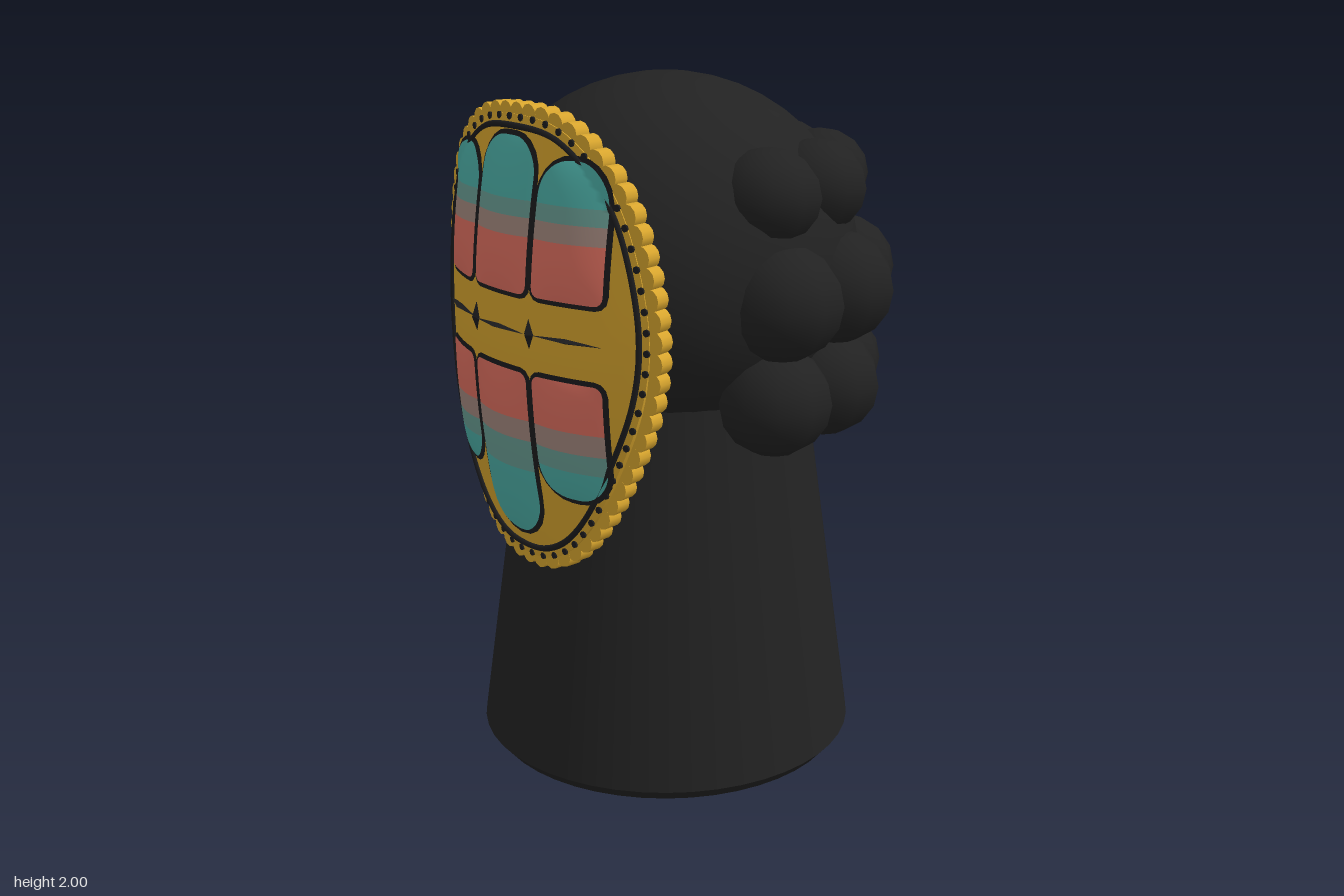
import * as THREE from 'three';
import { toCreasedNormals } from 'three/addons/utils/BufferGeometryUtils.js';
import { ParametricGeometry } from 'three/addons/geometries/ParametricGeometry.js';

const paint = (name, color, side = THREE.FrontSide) => {
  const m = new THREE.MeshStandardMaterial({ color, side });
  m.name = name;
  return m;
};
const black = paint('black', 0x222222);
const lineBlack = paint('line black', 0x1c1c1e, THREE.DoubleSide);
const gold = paint('gold', 0xd9a62e);
const teal = paint('teal', 0x4db0a8, THREE.DoubleSide);
const mutedTeal = paint('muted teal', 0x6a9f95, THREE.DoubleSide);
const taupe = paint('taupe', 0xa58a80, THREE.DoubleSide);
const coral = paint('coral', 0xe07060, THREE.DoubleSide);

const CZ = 0.045; // axis of body and head
const CY = 1.29;  // centre height of the mask

// Egg-shaped outline of the mask, clockwise from the top
const half = [[0.17, 1.895], [0.29, 1.83], [0.385, 1.73], [0.45, 1.58], [0.487, 1.38],
  [0.47, 1.2], [0.395, 1.0], [0.29, 0.82], [0.19, 0.72], [0.09, 0.675]];
const outline = new THREE.CatmullRomCurve3([
  [0, 1.912], ...half, [0, 0.667], ...half.map(([x, y]) => [-x, y]).reverse(),
].map(([x, y]) => new THREE.Vector3(x, y, 0)), true);

// Mask is bent around the face and domed in the middle
const bend = (x) => -0.31 * x * x;
const front = (x, y) => {
  const rho = (x / 0.49) ** 2 + ((y - CY) / 0.62) ** 2;
  return 0.545 + bend(x) + 0.074 * Math.max(0, 1 - rho);
};
const tilt = (x) => Math.atan(0.62 * x);
const rim = (u, s) => {
  const p = outline.getPointAt(u % 1);
  return new THREE.Vector3(p.x * s, CY + (p.y - CY) * s, 0);
};

function add(parent, name, geometry, material, x = 0, y = 0, z = 0) {
  const mesh = new THREE.Mesh(geometry, material);
  mesh.name = name;
  mesh.position.set(x, y, z);
  parent.add(mesh);
  return mesh;
}

// Curved sheet lying over the mask: a slice from ya to yb of a rounded panel
function sheet(p, ya, yb, grow, lift, bulge) {
  const lo = p.y0 - grow, hi = p.y1 + grow, hw = p.hw + grow;
  const corner = (d, r) => (d >= r ? 0 : r - Math.sqrt(Math.max(0, r * r - (r - d) ** 2)));
  const width = (y) => hw - Math.max(corner(y - lo, p.rLow + grow), corner(hi - y, p.rHigh + grow));
  return new ParametricGeometry((u, v, out) => {
    // rows crowd towards the rounded ends
    const y = THREE.MathUtils.lerp(ya, yb, (1 - Math.cos(v * Math.PI)) / 2);
    const x = p.cx + (u * 2 - 1) * width(y);
    const sx = (x - p.cx) / hw, sy = (2 * y - lo - hi) / (hi - lo);
    out.set(x, y, front(x, y) + lift + bulge * (1 - sx * sx) * (1 - sy ** 4));
  }, 12, 14);
}

function buildBody(group) {
  add(group, 'baseChamfer', new THREE.CylinderGeometry(0.565, 0.535, 0.035, 48), black, 0, 0.0175, CZ);
  add(group, 'neck', new THREE.CylinderGeometry(0.411, 0.565, 1.1, 48), black, 0, 0.585, CZ);
  add(group, 'head', new THREE.SphereGeometry(1, 40, 24), black, 0, 1.47, CZ).scale.set(0.56, 0.53, 0.56);

  // Three rows of hair buns around the back half of the head
  const rows = [
    { y: 1.14, ring: 0.49, r: 0.162, ry: 0.152 },
    { y: 1.42, ring: 0.515, r: 0.17, ry: 0.16 },
    { y: 1.70, ring: 0.45, r: 0.148, ry: 0.132 },
  ];
  const bun = new THREE.SphereGeometry(1, 10, 8);
  const hair = new THREE.Group();
  hair.name = 'hair';
  for (const row of rows) {
    for (let i = 0; i < 7; i++) {
      const a = (i * Math.PI) / 6;
      const m = add(hair, 'hairBun', bun, black,
        Math.cos(a) * row.ring, row.y, CZ - Math.sin(a) * row.ring);
      m.scale.set(row.r, row.ry, row.r);
      m.rotation.y = a;
    }
  }
  group.add(hair);
}

function buildMask() {
  const mask = new THREE.Group();
  mask.name = 'mask';

  // Plate: domed front, rim wall and bent back in one sweep
  const plate = new ParametricGeometry((u, v, out) => {
    const i = Math.round(v * 17);
    const p = rim(u, i <= 8 ? i / 8 : (17 - i) / 8);
    out.set(p.x, p.y, i <= 8 ? front(p.x, p.y) : 0.5 + bend(p.x));
  }, 96, 17);
  add(mask, 'maskPlate', toCreasedNormals(plate, 0.7), gold);

  // Scalloped edge with a dark dot on each scallop
  const bead = new THREE.CylinderGeometry(0.033, 0.033, 0.046, 12).rotateX(Math.PI / 2);
  const dot = new THREE.CylinderGeometry(0.01, 0.01, 0.006, 8).rotateX(Math.PI / 2);
  const count = 64;
  for (let i = 0; i < count; i++) {
    const p = rim(i / count, 1);
    add(mask, 'edgeBead', bead, gold, p.x, p.y, 0.519 + bend(p.x)).rotation.y = tilt(p.x);
    const q = rim((i + 0.5) / count, 0.99);
    add(mask, 'edgeDot', dot, lineBlack, q.x, q.y, front(q.x, q.y) + 0.002).rotation.y = tilt(q.x);
  }

  // Dark line inside the edge
  const ringPoints = Array.from({ length: 72 }, (_, i) => {
    const p = rim(i / 72, 0.953);
    return p.setZ(front(p.x, p.y) + 0.002);
  });
  const ring = new THREE.CatmullRomCurve3(ringPoints, true);
  add(mask, 'edgeLine', new THREE.TubeGeometry(ring, 144, 0.009, 6, true), lineBlack);

  // Six banded panels, each on a dark backing
  for (const side of [-1, 0, 1]) {
    const cx = side * 0.26, mid = side === 0;
    const hw = mid ? 0.125 : 0.113;
    const upper = { cx, hw, y0: 1.45, y1: mid ? 1.86 : 1.815, rLow: 0.025, rHigh: 0.1 };
    const lower = { cx, hw, y0: mid ? 0.745 : 0.9, y1: 1.235, rLow: mid ? 0.12 : 0.1, rHigh: 0.025 };
    const bands = [
      [upper, [upper.y0, 1.605, 1.655, 1.7, upper.y1], [coral, taupe, mutedTeal, teal]],
      [lower, [lower.y0, mid ? 0.95 : 0.985, 1.04, 1.1, lower.y1], [teal, mutedTeal, taupe, coral]],
    ];
    for (const [p, cuts, mats] of bands) {
      add(mask, 'panelBorder', sheet(p, p.y0 - 0.013, p.y1 + 0.013, 0.013, 0.004, 0), lineBlack);
      mats.forEach((m, i) => add(mask, 'panelBand', sheet(p, cuts[i], cuts[i + 1], 0, 0.008, 0.012), m));
    }
  }

  // Slim spindles and diamonds across the middle
  const gem = new THREE.OctahedronGeometry(1);
  const addGem = (name, x, sx, sy, sz) => {
    const m = add(mask, name, gem, lineBlack, x, 1.345, front(x, 1.345));
    m.scale.set(sx, sy, sz);
    m.rotation.y = tilt(x) * 1.8;
  };
  for (const x of [-0.26, 0, 0.26]) addGem('spindle', x, 0.125, 0.007, 0.018);
  for (const x of [-0.132, 0.132]) addGem('diamond', x, 0.018, 0.042, 0.015);
  return mask;
}

export function createModel() {
  const model = new THREE.Group();
  model.name = 'maskedHead';
  buildBody(model);
  model.add(buildMask());
  return model;
}
